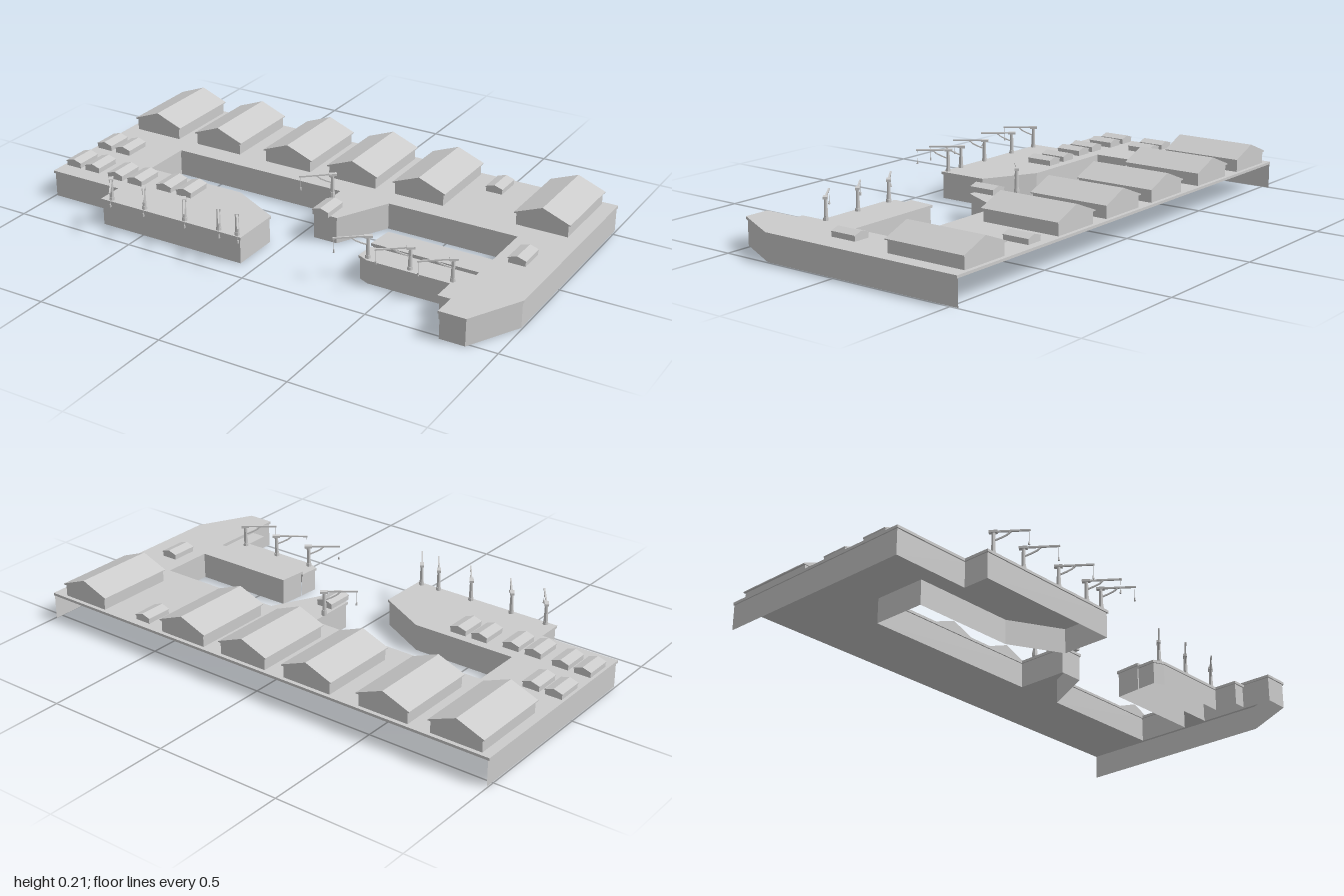
import * as THREE from 'three';

const mat = new THREE.MeshStandardMaterial({ color: 0xcccccc, flatShading: true });
const thin = new THREE.MeshStandardMaterial({ color: 0xcccccc, flatShading: true, side: THREE.DoubleSide });

const DECK = 0.107, STEP = 0.094, SLAB = 0.01;

// Quay edge as [x, z], from the back right corner round the front to the back left corner
const quayEdge = [
  [-1, -0.53], [-1, 0.31], [-0.687, 0.31], [-0.687, 0.415], [-0.06, 0.415], [-0.06, 0.21],
  [-0.267, 0.1], [-0.687, 0.1], [-0.687, -0.105], [0.05, -0.105], [0.05, 0.1], [0.155, 0.1],
  [0.26, -0.105], [0.785, -0.105], [0.785, 0.1], [0.37, 0.1], [0.36, 0.21], [0.785, 0.21],
  [0.785, 0.52], [0.89, 0.52], [1, 0.31], [1, -0.53],
];
const stepEdge = [
  [0.36, 0.21], [0.355, 0.29], [0.40, 0.31], [0.725, 0.31], [0.725, 0.405], [0.785, 0.405], [0.785, 0.21],
];

function add(parent, name, geometry, x = 0, y = 0, z = 0, material = mat) {
  const mesh = new THREE.Mesh(geometry, material);
  mesh.name = name;
  mesh.position.set(x, y, z);
  parent.add(mesh);
  return mesh;
}

// Move an open path inwards by d, with mitred corners
function inset(path, d) {
  const normals = path.slice(1).map(([x, z], i) => {
    const dx = x - path[i][0], dz = z - path[i][1], l = Math.hypot(dx, dz);
    return [dz / l, -dx / l];
  });
  return path.map(([x, z], i) => {
    const a = normals[Math.max(i - 1, 0)], b = normals[Math.min(i, normals.length - 1)];
    const k = d / (1 + a[0] * b[0] + a[1] * b[1]);
    return [x + (a[0] + b[0]) * k, z + (a[1] + b[1]) * k];
  });
}

// A thin deck with an overhanging lip on walls that are open below and behind
function platform(name, edge, top) {
  const group = new THREE.Group();
  group.name = name;
  const shape = new THREE.Shape(edge.map(([x, z]) => new THREE.Vector2(x, -z)));
  const slab = new THREE.ExtrudeGeometry(shape, { depth: SLAB, bevelEnabled: false });
  slab.rotateX(-Math.PI / 2);
  add(group, 'deck', slab, 0, top - SLAB, 0);

  const path = inset(edge, 0.005), pos = [], index = [];
  path.forEach(([x, z], i) => {
    pos.push(x, 0, z, x, top - SLAB, z);
    const a = i * 2;
    if (i < path.length - 1) index.push(a, a + 2, a + 3, a, a + 3, a + 1);
  });
  const walls = new THREE.BufferGeometry();
  walls.setAttribute('position', new THREE.Float32BufferAttribute(pos, 3));
  walls.setIndex(index);
  const flat = walls.toNonIndexed();
  flat.computeVertexNormals();
  add(group, 'quayWalls', flat, 0, 0, 0, thin);
  return group;
}

// Gabled building with its ridge along z
function building(name, x, z, { width, length, wall, ridge, eave, lip }) {
  const group = new THREE.Group();
  group.name = name;
  group.position.set(x, DECK, z);
  add(group, 'walls', new THREE.BoxGeometry(width - 2 * eave, wall, length - 2 * lip), 0, wall / 2, 0);
  const w = width / 2, t = 0.004;
  const gable = new THREE.Shape([[-w, 0], [w, 0], [w, t], [0, ridge - wall], [-w, t]]
    .map(p => new THREE.Vector2(...p)));
  const roof = new THREE.ExtrudeGeometry(gable, { depth: length, bevelEnabled: false });
  add(group, 'roof', roof, 0, wall, -length / 2);
  return group;
}

// Beam between two points in the crane's own x-y plane
function beam(parent, name, x0, y0, x1, y1, thick) {
  const mesh = add(parent, name, new THREE.BoxGeometry(Math.hypot(x1 - x0, y1 - y0), thick, thick),
    (x0 + x1) / 2, (y0 + y1) / 2, 0);
  mesh.rotation.z = Math.atan2(y1 - y0, x1 - x0);
}

// Dockside crane, jib along +x before it is turned towards (dx, dz)
function crane(x, y, z, dx, dz) {
  const group = new THREE.Group();
  group.name = 'crane';
  group.position.set(x, y, z);
  group.rotation.y = Math.atan2(-dz, dx);
  add(group, 'base', new THREE.CylinderGeometry(0.0095, 0.0105, 0.012, 8), 0, 0.006, 0);
  add(group, 'mast', new THREE.CylinderGeometry(0.006, 0.008, 0.075, 8), 0, 0.0435, 0);
  add(group, 'head', new THREE.BoxGeometry(0.03, 0.009, 0.016), -0.001, 0.0845, 0);
  beam(group, 'jib', -0.015, 0.086, 0.126, 0.084, 0.006);
  // Curved brace under the jib
  const brace = [[0.004, 0.052], [0.026, 0.061], [0.046, 0.071], [0.06, 0.083]];
  for (let i = 0; i < 3; i++) beam(group, 'brace', ...brace[i], ...brace[i + 1], 0.005);
  beam(group, 'cable', 0.121, 0.084, 0.121, 0.04, 0.0015);
  add(group, 'hook', new THREE.CylinderGeometry(0.003, 0.004, 0.012, 6), 0.121, 0.034, 0);
  return group;
}

export function createModel() {
  const model = new THREE.Group();
  model.name = 'harbour';
  model.add(platform('mainQuay', quayEdge, DECK), platform('lowerQuay', stepEdge, STEP));

  // Row of large warehouses along the back
  const large = { width: 0.22, length: 0.33, wall: 0.046, ridge: 0.093, eave: 0.008, lip: 0.004 };
  for (const x of [-0.86, -0.565, -0.238, 0.052, 0.34, 0.84])
    model.add(building('warehouse', x, -0.353, large));

  // Small sheds
  const small = { width: 0.07, length: 0.108, wall: 0.017, ridge: 0.032, eave: 0.002, lip: 0.001 };
  const sheds = [
    [-0.955, -0.008], [-0.865, -0.008], [-0.955, 0.187], [-0.865, 0.187], [-0.745, 0.199],
    [-0.652, 0.199], [-0.524, 0.187], [-0.432, 0.187], [0.094, 0.064], [0.556, -0.445], [0.872, 0.038],
  ];
  for (const [x, z] of sheds) model.add(building('shed', x, z, small));

  // Cranes on the right quay, the lower quay and the middle jetty
  for (const x of [-0.645, -0.495, -0.313, -0.163, -0.083])
    model.add(crane(x, DECK, 0.4, 0.07, 0.1));
  for (const x of [0.393, 0.56, 0.725]) model.add(crane(x, STEP, 0.29, -0.096, 0.075));
  model.add(crane(0.053, 0.118, -0.042, -0.096, 0.08));
  add(model, 'cranePlinth', new THREE.CylinderGeometry(0.0105, 0.0105, 0.011, 8), 0.053, DECK + 0.0055, -0.042);
  return model;
}
